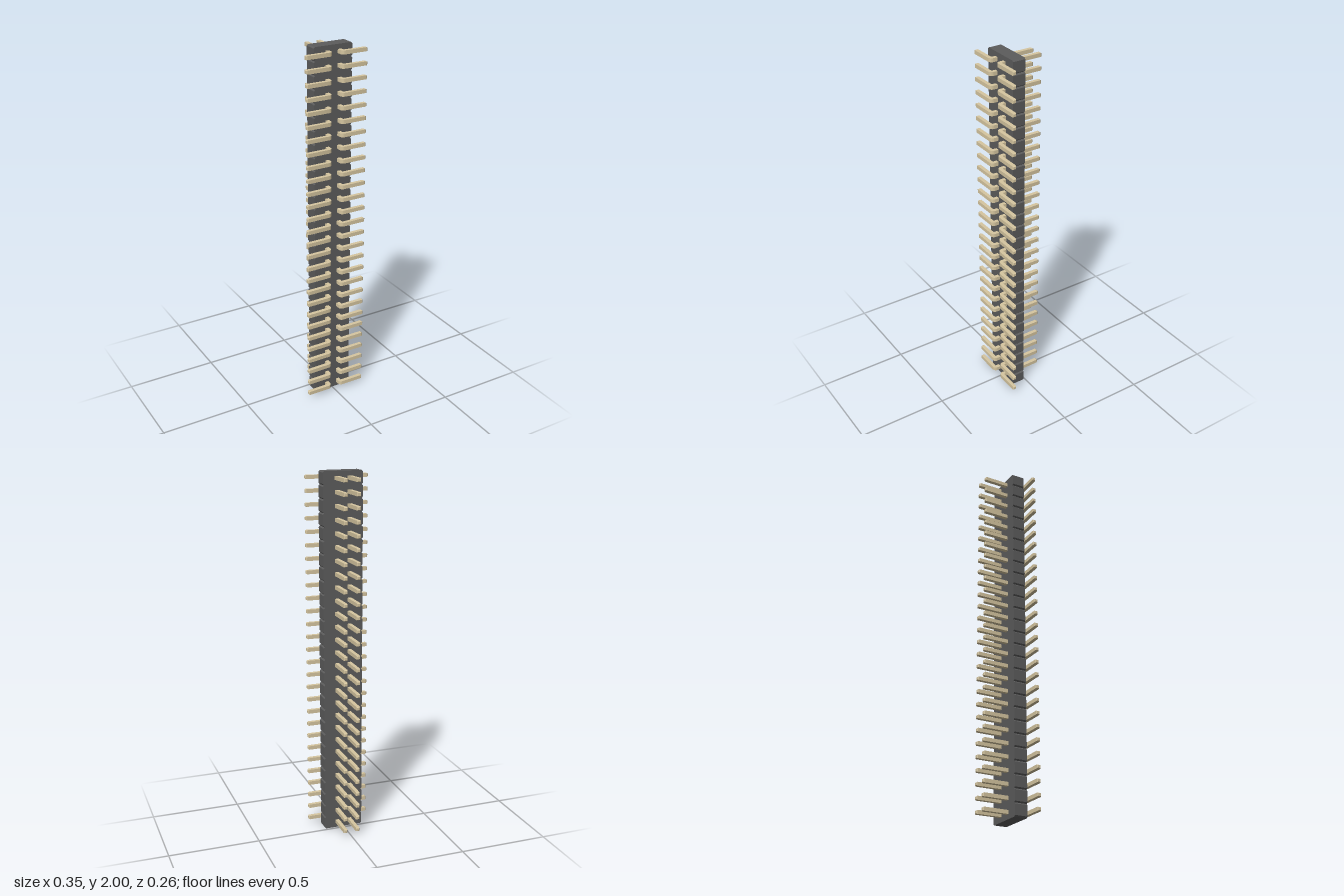
import * as THREE from 'three';
import { toCreasedNormals } from 'three/addons/utils/BufferGeometryUtils.js';

const ROWS = 28, PITCH = 2 / ROWS;
const BODY_HALF = 0.11, BODY_BACK = 0.013, BODY_FRONT = 0.084, NOTCH = 0.007;
const PIN = 0.0205, PIN_X = 0.0355, PIN_BACK = -0.129, PIN_FRONT = 0.1265, PIN_END = 0.174;
const TIP = 0.005, TIP_SCALE = 0.7;

// Bar with a small V notch in both sides between neighbouring rows
function bodyGeometry() {
  const right = [];
  for (let i = 0; i < ROWS; i++) {
    const y0 = i * PITCH, y1 = y0 + PITCH;
    right.push([BODY_HALF - NOTCH, y0], [BODY_HALF, y0 + NOTCH], [BODY_HALF, y1 - NOTCH]);
  }
  right.push([BODY_HALF - NOTCH, 2]);
  const left = right.map(([x, y]) => [-x, y]).reverse();
  const shape = new THREE.Shape([...right, ...left].map(([x, y]) => new THREE.Vector2(x, y)));
  const geometry = new THREE.ExtrudeGeometry(shape, { depth: BODY_FRONT - BODY_BACK, bevelEnabled: false });
  return geometry.translate(0, 0, BODY_BACK);
}

// Square wire bent outwards through 90 degrees, lofted through four-cornered sections
function pinGeometry() {
  const h = PIN / 2, cornerX = PIN_X + h, cornerZ = PIN_FRONT - PIN;
  const ring = (ix, iz, ox, oz, half = h) => [
    new THREE.Vector3(ix, half, iz), new THREE.Vector3(ox, half, oz),
    new THREE.Vector3(ox, -half, oz), new THREE.Vector3(ix, -half, iz),
  ];
  const t = h * TIP_SCALE, midZ = PIN_FRONT - h;
  const rings = [
    ring(PIN_X + t, PIN_BACK, PIN_X - t, PIN_BACK, t),
    ring(cornerX, PIN_BACK + TIP, PIN_X - h, PIN_BACK + TIP),
  ];
  // Bend: sharp inside corner, rounded outside
  for (let i = 0; i <= 6; i++) {
    const a = (i / 6) * Math.PI / 2;
    rings.push(ring(cornerX, cornerZ, cornerX - PIN * Math.cos(a), cornerZ + PIN * Math.sin(a)));
  }
  rings.push(ring(PIN_END - TIP, cornerZ, PIN_END - TIP, PIN_FRONT));
  rings.push(ring(PIN_END, midZ - t, PIN_END, midZ + t, t));

  const points = [];
  const triangle = (a, b, c) => {
    if (!a.equals(b) && !b.equals(c) && !c.equals(a)) points.push(a, b, c);
  };
  const quad = (a, b, c, d) => { triangle(a, b, c); triangle(a, c, d); };
  for (let i = 0; i < rings.length - 1; i++) {
    const r = rings[i], s = rings[i + 1];
    for (let k = 0; k < 4; k++) quad(r[k], r[(k + 1) % 4], s[(k + 1) % 4], s[k]);
  }
  quad(...[...rings[0]].reverse());
  quad(...rings[rings.length - 1]);
  return toCreasedNormals(new THREE.BufferGeometry().setFromPoints(points), 0.35);
}

export function createModel() {
  const model = new THREE.Group();
  model.name = 'pinHeader';
  const plastic = new THREE.MeshStandardMaterial({ color: 0x5c5c5c });
  const metal = new THREE.MeshStandardMaterial({ color: 0xd6c6a0 });

  const body = new THREE.Mesh(bodyGeometry(), plastic);
  body.name = 'body';
  model.add(body);

  // Two columns of pins; the right column is the left one turned half round
  const geometry = pinGeometry();
  for (const side of ['left', 'right']) {
    const column = new THREE.Group();
    column.name = side + 'Pins';
    for (let i = 0; i < ROWS; i++) {
      const pin = new THREE.Mesh(geometry, metal);
      pin.name = side + 'Pin' + (i + 1);
      pin.position.y = (i + 0.5) * PITCH;
      if (side === 'right') pin.rotation.z = Math.PI;
      column.add(pin);
    }
    model.add(column);
  }
  return model;
}
